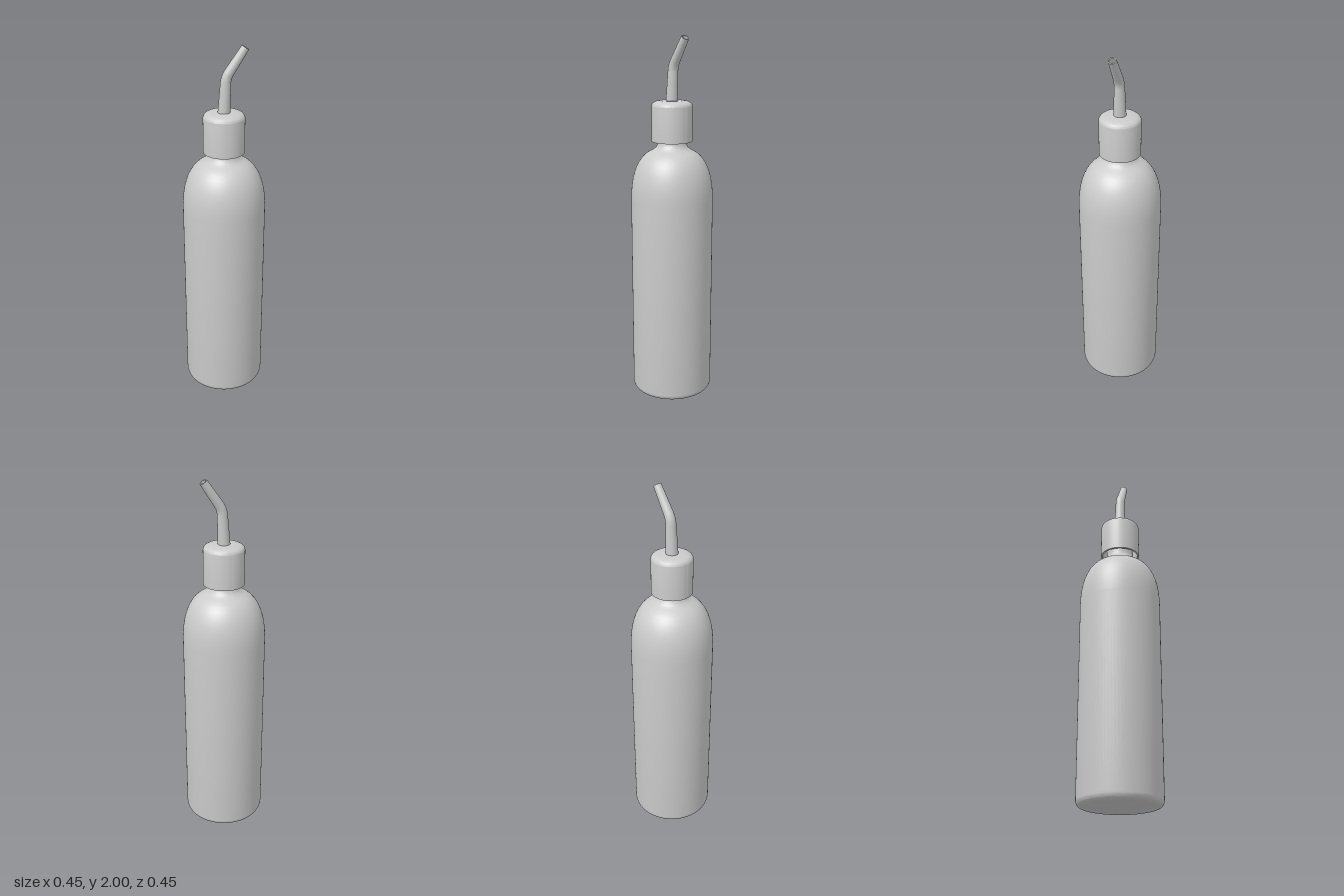
import * as THREE from 'three';
import { toCreasedNormals } from 'three/addons/utils/BufferGeometryUtils.js';

const material = new THREE.MeshStandardMaterial({ color: 0xcccccc, side: THREE.DoubleSide });

function part(name, geometry) {
  const mesh = new THREE.Mesh(geometry, material);
  mesh.name = name;
  return mesh;
}

// Turned part from a Path of lines and curves in (radius, height)
function turned(name, path) {
  const points = path.getPoints(10);
  return part(name, toCreasedNormals(new THREE.LatheGeometry(points, 80), 0.6));
}

// Tube along a curve whose radius runs evenly from r0 to r1
function taperedTube(curve, r0, r1) {
  const steps = 60;
  const geometry = new THREE.TubeGeometry(curve, steps, 1, 32);
  const pos = geometry.attributes.position;
  const uv = geometry.attributes.uv;
  const p = new THREE.Vector3();
  for (let i = 0; i < pos.count; i++) {
    const t = uv.getX(i);
    const centre = curve.getPointAt(t);
    p.fromBufferAttribute(pos, i).sub(centre).multiplyScalar(THREE.MathUtils.lerp(r0, r1, t)).add(centre);
    pos.setXYZ(i, p.x, p.y, p.z);
  }
  return geometry;
}

export function createModel() {
  const model = new THREE.Group();
  model.name = 'squeezeBottle';

  // Bottle: rounded foot, straight wall, domed shoulder and neck
  const body = new THREE.Path();
  body.moveTo(0, 0);
  body.lineTo(0.19, 0);
  body.quadraticCurveTo(0.224, 0, 0.224, 0.04);
  body.lineTo(0.224, 1.12);
  body.bezierCurveTo(0.224, 1.27, 0.18, 1.355, 0.12, 1.385);
  body.bezierCurveTo(0.095, 1.398, 0.077, 1.41, 0.075, 1.44);
  body.lineTo(0.075, 1.6);
  model.add(turned('bottle', body));

  // Cap: open underneath, with a softened top edge
  const cap = new THREE.Path();
  cap.moveTo(0.075, 1.6);
  cap.lineTo(0.1, 1.6);
  cap.lineTo(0.1, 1.44);
  cap.lineTo(0.11, 1.44);
  cap.lineTo(0.11, 1.625);
  cap.quadraticCurveTo(0.11, 1.645, 0.085, 1.653);
  cap.lineTo(0.06, 1.657);
  cap.lineTo(0, 1.657);
  model.add(turned('cap', cap));

  // Bent, tapering spout
  const base = new THREE.Vector3(-0.001, 1.64, 0);
  const bend = new THREE.Vector3(0.01, 1.838, 0);
  const tip = new THREE.Vector3(0.109, 1.986, 0);
  const bendIn = bend.clone().lerp(base, 0.15);
  const bendOut = bend.clone().lerp(tip, 0.17);
  const path = new THREE.CurvePath();
  path.add(new THREE.LineCurve3(base, bendIn));
  path.add(new THREE.QuadraticBezierCurve3(bendIn, bend, bendOut));
  path.add(new THREE.LineCurve3(bendOut, tip));

  const spout = new THREE.Group();
  spout.name = 'spout';
  spout.add(part('spoutWall', taperedTube(path, 0.033, 0.021)));
  spout.add(part('spoutBore', taperedTube(path, 0.024, 0.015)));
  const rim = part('spoutRim', new THREE.RingGeometry(0.015, 0.021, 32));
  rim.position.copy(tip);
  rim.quaternion.setFromUnitVectors(new THREE.Vector3(0, 0, 1), tip.clone().sub(bend).normalize());
  spout.add(rim);
  model.add(spout);

  return model;
}
